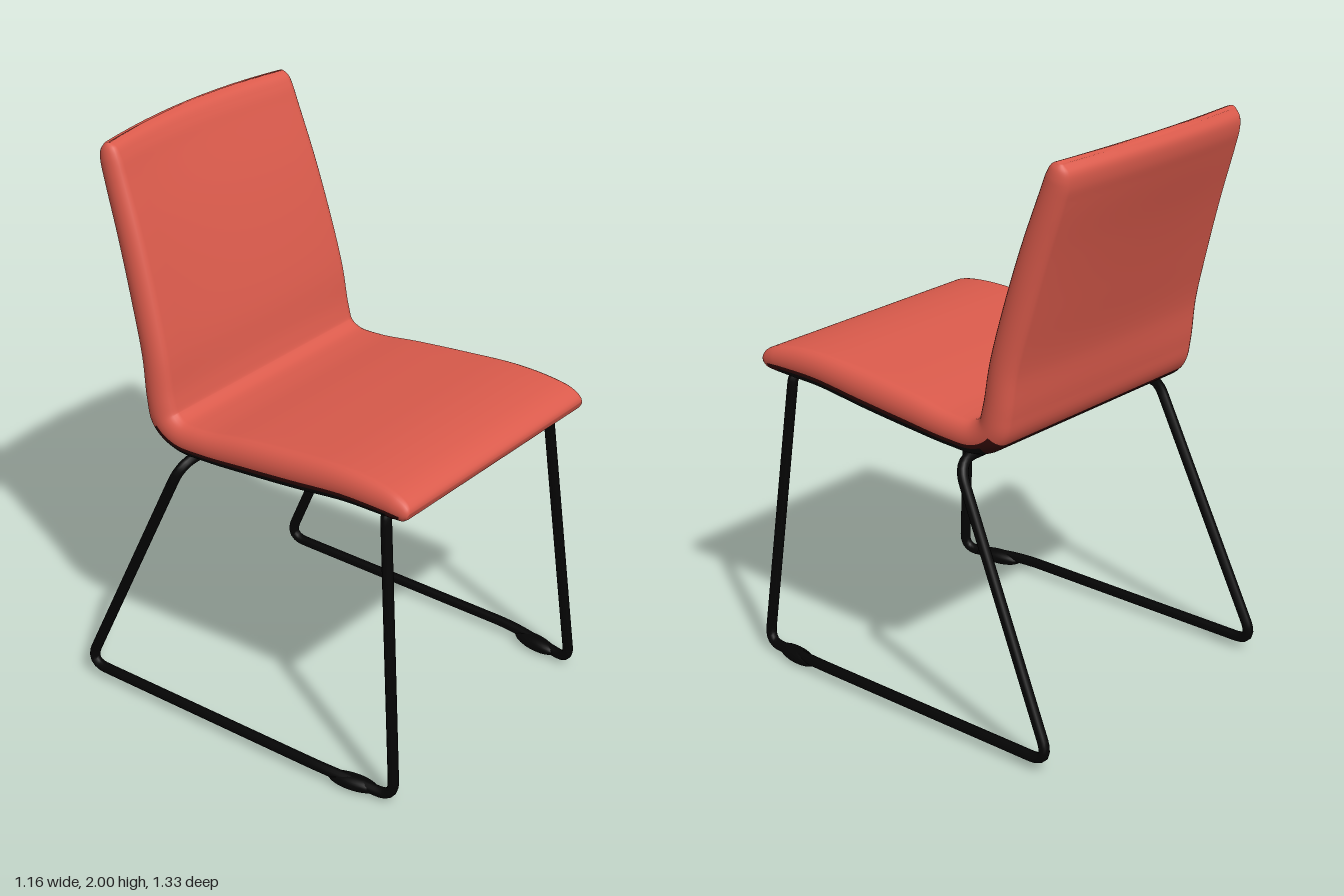
import * as THREE from 'three';

const red = new THREE.MeshStandardMaterial({ color: 0xdb5b4c });
red.name = 'red upholstery';
const black = new THREE.MeshStandardMaterial({ color: 0x040404 });
black.name = 'black metal';
const maroon = new THREE.MeshStandardMaterial({ color: 0x380c0a });
maroon.name = 'dark red underside trim';

// Seat and back centre line, front edge to top edge: half thickness, y, z
const STATIONS = [
  [0.012, 1.075, 0.66], [0.03, 1.08, 0.647], [0.045, 1.09, 0.605], [0.056, 1.095, 0.53],
  [0.062, 1.095, 0.4], [0.067, 1.075, 0.2], [0.065, 1.055, 0], [0.057, 1.037, -0.18],
  [0.058, 1.04, -0.29], [0.061, 1.078, -0.352], [0.058, 1.15, -0.376], [0.055, 1.3, -0.403],
  [0.055, 1.5, -0.46], [0.053, 1.7, -0.525], [0.049, 1.88, -0.591], [0.046, 1.94, -0.612],
  [0.034, 1.979, -0.623], [0.01, 1.999, -0.629],
];

// Cross-section outline: s runs across the straight faces, a is the edge angle
function sectionOutline() {
  const outline = [];
  for (const side of [1, -1]) {
    for (let i = 0; i <= 12; i++) {
      outline.push({ s: side, a: (side > 0 ? -0.5 : 0.5) * Math.PI + (i / 12) * Math.PI });
    }
    for (let i = 1; i < 12; i++) outline.push({ s: side * (1 - i / 6), a: side * Math.PI / 2 });
  }
  return outline;
}

function buildShell() {
  const curve = new THREE.CatmullRomCurve3(STATIONS.map(([h, y, z]) => new THREE.Vector3(h, y, z)));
  const outline = sectionOutline();
  const n = outline.length, rows = 102;
  const pos = [], redFaces = [], blackFaces = [], maroonFaces = [], centres = [];

  for (let i = 0; i <= rows; i++) {
    const t = i / rows;
    const { x: h, y, z } = curve.getPoint(t);
    const tan = curve.getTangent(t);
    const len = Math.hypot(tan.y, tan.z);
    const ny = -tan.z / len, nz = tan.y / len;
    const rise = THREE.MathUtils.clamp((y - 1.1) / 0.9, 0, 1) * (z < -0.3 ? 1 : 0);
    const w = 0.503 - 0.045 * Math.pow(rise, 1.2) - Math.max(0, 0.045 - h) * 0.45;
    const r = h * 0.8;
    centres.push({ y, z });
    for (const { s, a } of outline) {
      const x = s * (w - r) + r * Math.cos(a);
      const d = h * Math.sin(a);
      const bow = (x / w) ** 2 * rise; // the back wraps forward at its sides
      pos.push(x, y + ny * d - 0.008 * bow, z + nz * d + 0.035 * bow);
    }
  }
  // Skin: black pan under the seat, dark red around its rim and under the bend
  const facesFor = (depth, { y, z }) => {
    const trim = z < 0.64 && (z > -0.31 || y < 1.075);
    if (depth > -0.25 || !trim) return redFaces;
    return depth < -0.6 && z < 0.59 && z > -0.31 ? blackFaces : maroonFaces;
  };
  for (let i = 0; i < rows; i++) {
    for (let j = 0; j < n; j++) {
      const k = (j + 1) % n;
      const a = i * n + j, b = i * n + k, c = a + n, d = b + n;
      const depth = (Math.sin(outline[j].a) + Math.sin(outline[k].a)) / 2;
      facesFor(depth, centres[i]).push(a, c, b, b, c, d);
    }
  }
  // End caps
  for (const i of [0, rows]) {
    const c = pos.length / 3;
    pos.push(0, centres[i].y, centres[i].z);
    for (let j = 0; j < n; j++) {
      const a = i * n + j, b = i * n + (j + 1) % n;
      redFaces.push(...(i === 0 ? [c, a, b] : [c, b, a]));
    }
  }
  const geo = new THREE.BufferGeometry();
  geo.setAttribute('position', new THREE.Float32BufferAttribute(pos, 3));
  geo.setIndex([...redFaces, ...blackFaces, ...maroonFaces]);
  geo.addGroup(0, redFaces.length, 0);
  geo.addGroup(redFaces.length, blackFaces.length, 1);
  geo.addGroup(redFaces.length + blackFaces.length, maroonFaces.length, 2);
  geo.computeVertexNormals();
  const mesh = new THREE.Mesh(geo, [red, black, maroon]);
  mesh.name = 'seatShell';
  return mesh;
}

// Straight runs joined by rounded bends of the given radii
function bentPath(points, radii) {
  const path = new THREE.CurvePath();
  let from = points[0];
  for (let i = 1; i < points.length - 1; i++) {
    const p = points[i], r = radii[i - 1];
    const start = p.clone().add(points[i - 1].clone().sub(p).setLength(r));
    const end = p.clone().add(points[i + 1].clone().sub(p).setLength(r));
    path.add(new THREE.LineCurve3(from, start));
    path.add(new THREE.QuadraticBezierCurve3(start, p, end));
    from = end;
  }
  path.add(new THREE.LineCurve3(from, points[points.length - 1]));
  return path;
}

function buildFrameSide(side) {
  const group = new THREE.Group();
  group.name = side > 0 ? 'leftFrame' : 'rightFrame';
  const v = (x, y, z) => new THREE.Vector3(side * x, y, z);

  // Rear crossbar, back leg, runner, front leg and front crossbar in one bent rod
  const path = bentPath([
    v(0, 0.965, -0.25), v(0.515, 0.965, -0.25), v(0.56, 0.047, -0.675),
    v(0.555, 0.047, 0.38), v(0.518, 0.028, 0.645), v(0.452, 1.05, 0.55), v(0, 1.06, 0.53),
  ], [0.08, 0.08, 0.08, 0.06, 0.04]);
  const rod = new THREE.Mesh(new THREE.TubeGeometry(path, 260, 0.0185, 12), black);
  rod.name = 'sledLeg';
  group.add(rod);

  // Floor glide near the front of the runner
  const glide = new THREE.Mesh(new THREE.SphereGeometry(1, 20, 14), black);
  glide.name = 'floorGlide';
  glide.scale.set(0.034, 0.026, 0.095);
  glide.position.copy(v(0.535, 0.032, 0.49));
  glide.rotation.y = -side * 0.15;
  group.add(glide);
  return group;
}

export function createModel() {
  const chair = new THREE.Group();
  chair.name = 'chair';
  chair.add(buildShell(), buildFrameSide(1), buildFrameSide(-1));
  return chair;
}
